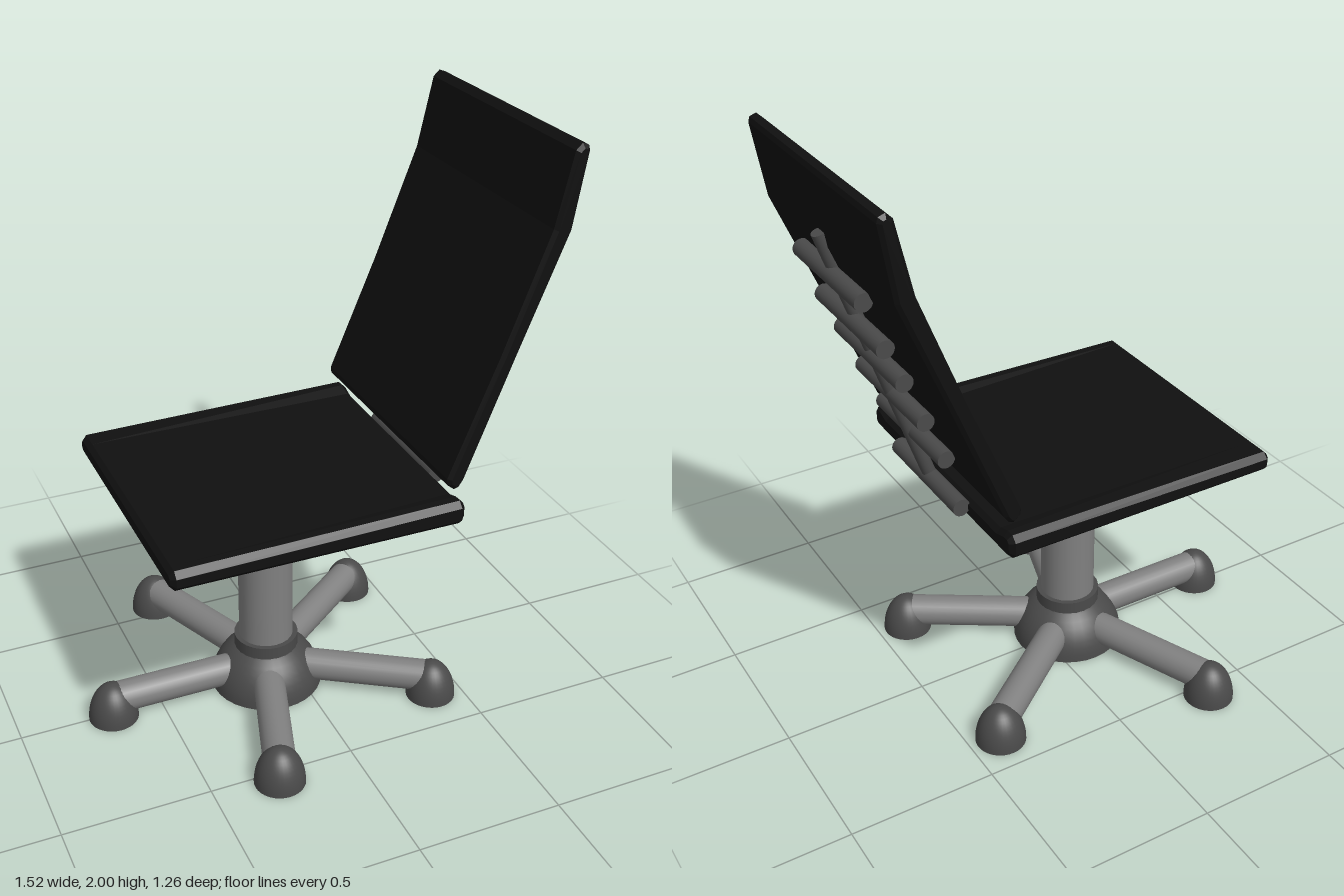
import * as THREE from 'three';

const metal = new THREE.MeshStandardMaterial({ color: 0x808080 });
const plastic = new THREE.MeshStandardMaterial({ color: 0x4a4a4a });
const fabric = new THREE.MeshStandardMaterial({ color: 0x101010 });

const V = (x, y, z) => new THREE.Vector3(x, y, z);

export function createModel() {
  const model = new THREE.Group();
  const add = (name, geometry, material) => {
    const mesh = new THREE.Mesh(geometry, material);
    mesh.name = name;
    model.add(mesh);
    return mesh;
  };

  // Cylinder between two points
  const bar = (name, a, b, r, material) => {
    const mesh = add(name, new THREE.CylinderGeometry(r, r, a.distanceTo(b), 24), material);
    mesh.position.copy(a).lerp(b, 0.5);
    mesh.quaternion.setFromUnitVectors(V(0, 1, 0), b.clone().sub(a).normalize());
    return mesh;
  };

  // Closed half dome standing on y = 0; the doubled point keeps the rim sharp
  const dome = (name, r, h, material) => {
    const pts = [new THREE.Vector2(0, 0), new THREE.Vector2(r, 0)];
    for (let i = 0; i <= 12; i++) {
      const a = (i / 12) * Math.PI / 2;
      pts.push(new THREE.Vector2(Math.max(0, r * Math.cos(a)), h * Math.sin(a)));
    }
    return add(name, new THREE.LatheGeometry(pts, 32), material);
  };

  // Chamfered slab: outline extruded to a depth, starting at zero
  const slab = (outline, depth, bevel) => {
    const shape = new THREE.Shape(outline.map(([x, y]) => new THREE.Vector2(x, y)));
    const g = new THREE.ExtrudeGeometry(shape, {
      depth: depth - 2 * bevel, bevelEnabled: true, bevelSegments: 1,
      bevelSize: bevel, bevelThickness: bevel, bevelOffset: -bevel,
    });
    return g.translate(0, 0, bevel);
  };

  // Column
  const cx = -0.105, cz = 0.012;
  bar('column', V(cx, 0.1, cz), V(cx, 0.7, cz), 0.095, metal);
  bar('lowerCollar', V(cx, 0.14, cz), V(cx, 0.2, cz), 0.112, plastic);
  bar('upperCollar', V(cx, 0.625, cz), V(cx, 0.68, cz), 0.112, plastic);
  dome('hub', 0.195, 0.19, plastic).position.set(cx, 0, cz);
  const bowl = dome('seatBowl', 0.195, 0.175, plastic);
  bowl.position.set(cx, 0.808, cz);
  bowl.rotation.x = Math.PI;

  // Five legs with domed feet
  const feet = [[-0.675, 0.01], [-0.275, 0.54], [0.39, 0.33], [0.39, -0.365], [-0.335, -0.55]];
  for (const [x, z] of feet) {
    const foot = dome('foot', 0.086, 0.135, plastic);
    foot.position.set(x, 0, z);
    const end = V(x, 0.075, z).lerp(V(cx, 0.075, cz), 0.03);
    bar('leg', V(cx, 0.075, cz), end, 0.055, metal);
  }

  // Seat: dished cross-section run along x, its side rims rising to the back
  const hw = 0.478, seatZ = 0.014;
  const seat = slab([
    [-hw + 0.02, 0.79], [hw - 0.02, 0.79], [hw, 0.81], [hw, 0.855], [hw - 0.02, 0.875],
    [0.43, 0.875], [0.385, 0.86], [-0.385, 0.86], [-0.43, 0.875],
    [-hw + 0.02, 0.875], [-hw, 0.855], [-hw, 0.81],
  ], 0.995, 0.016);
  seat.rotateY(Math.PI / 2).translate(-0.6, 0, seatZ);
  const p = seat.attributes.position;
  for (let i = 0; i < p.count; i++) {
    if (p.getY(i) > 0.835 && Math.abs(p.getZ(i) - seatZ) > 0.4) {
      p.setY(i, p.getY(i) - 0.015 * (0.395 - p.getX(i)));
    }
  }
  seat.computeVertexNormals();
  add('seat', seat, fabric);

  // Backrest: bent side profile run along z
  const back = slab([
    [0.365, 0.91], [0.382, 0.915], [0.397, 0.937], [0.562, 1.35], [0.718, 1.732],
    [0.757, 1.975], [0.752, 1.992], [0.73, 2.0], [0.709, 1.98],
    [0.656, 1.742], [0.505, 1.35], [0.339, 0.952], [0.341, 0.93],
  ], 0.905, 0.012);
  back.translate(0, 0, -0.44);
  add('backrest', back, fabric);

  // Back support: spine rod with crossbars
  const sz = 0.027, half = 0.218;
  bar('spine', V(0.415, 0.84, sz), V(0.735, 1.775, sz), 0.023, plastic);
  const bars = [[0.418, 0.84], [0.465, 1.035], [0.529, 1.188], [0.592, 1.342], [0.646, 1.47], [0.704, 1.635]];
  for (const [x, y] of bars) {
    bar('crossbar', V(x, y, sz - half), V(x, y, sz + half), 0.03, plastic);
  }

  return model;
}
